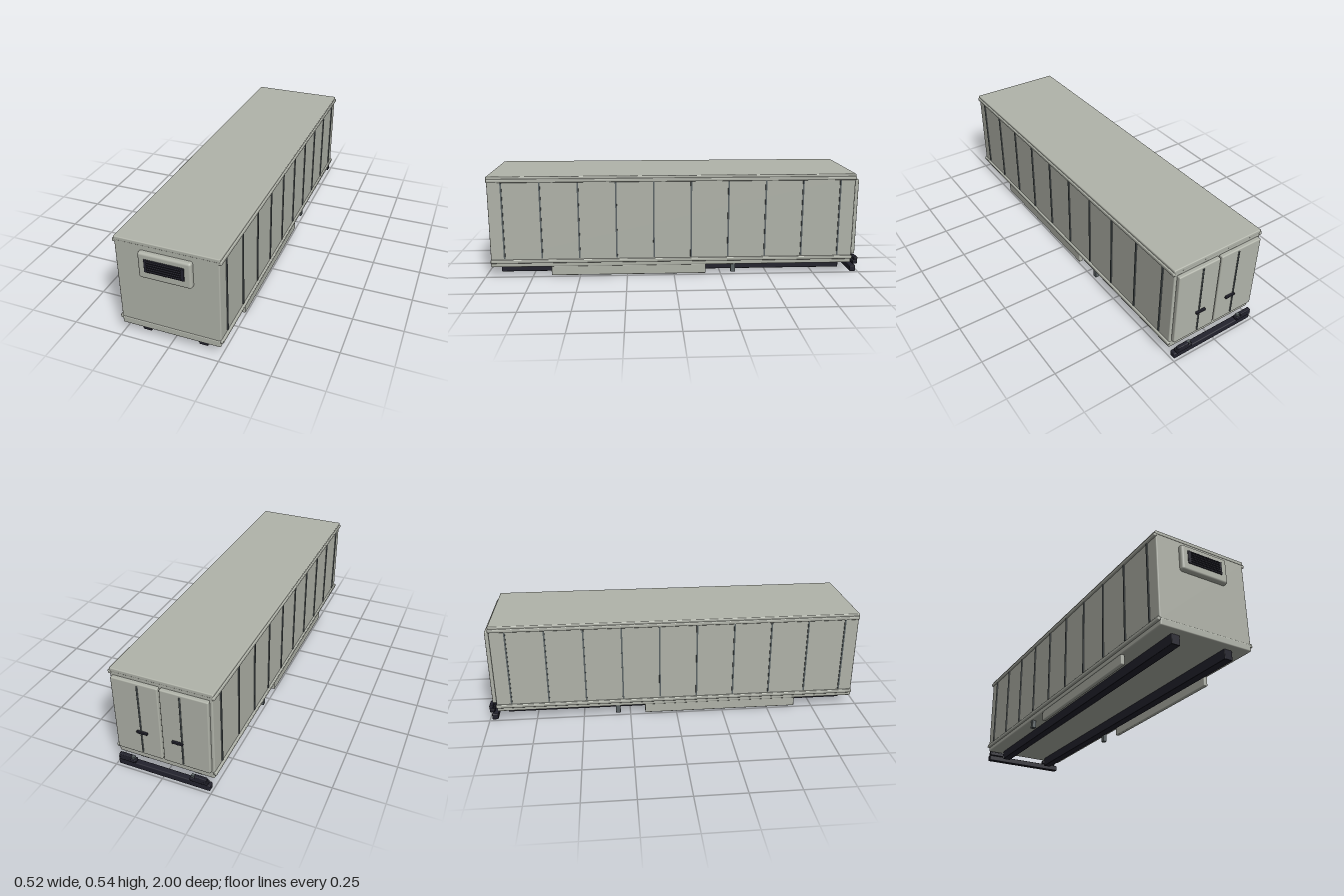
import * as THREE from 'three';
import { RoundedBoxGeometry } from 'three/addons/geometries/RoundedBoxGeometry.js';

const paint = new THREE.MeshStandardMaterial({ name: 'greyPaint', color: 0xb1b4aa });
const dark = new THREE.MeshStandardMaterial({ name: 'darkMetal', color: 0x22222d });
const steel = new THREE.MeshStandardMaterial({ name: 'steel', color: 0x5c6466 });

export function createModel() {
  const model = new THREE.Group();
  model.name = 'boxTrailer';

  // box given by its minimum and maximum on each axis, with optional rounded edges
  function box(name, mat, [x0, x1], [y0, y1], [z0, z1], r = 0) {
    const w = x1 - x0, h = y1 - y0, d = z1 - z0;
    const geo = r ? new RoundedBoxGeometry(w, h, d, 2, r) : new THREE.BoxGeometry(w, h, d);
    const mesh = new THREE.Mesh(geo, mat);
    mesh.name = name;
    mesh.position.set((x0 + x1) / 2, (y0 + y1) / 2, (z0 + z1) / 2);
    model.add(mesh);
    return mesh;
  }
  // the same span on the chosen side
  const side = (s, a, b) => (s > 0 ? [a, b] : [-b, -a]);

  // cargo body
  box('cargoBody', paint, [-0.252, 0.252], [0.085, 0.53], [-0.955, 0.966], 0.006);
  box('roof', paint, [-0.255, 0.255], [0.521, 0.541], [-0.957, 0.968], 0.005);
  box('floorFrame', paint, [-0.25, 0.25], [0.054, 0.092], [-0.955, 0.969], 0.007);

  // refrigeration unit with louvred vent
  box('coolingUnit', paint, [-0.129, 0.129], [0.364, 0.499], [0.955, 0.99], 0.012);
  box('ventPanel', dark, [-0.097, 0.097], [0.403, 0.471], [0.98, 0.994], 0.003);
  for (let i = 0; i < 5; i++) {
    const y = 0.413 + i * 0.012;
    const slat = box('ventSlat', dark, [-0.082, 0.082], [y - 0.0025, y + 0.0025], [0.99, 0.999]);
    slat.rotation.x = 0.35;
  }

  for (const s of [1, -1]) {
    // long corner rails
    for (const y of [0.519, 0.087])
      box('sideRail', paint, side(s, 0.245, 0.262), [y - 0.0095, y + 0.0095], [-0.958, 0.967], 0.005);

    // wall ribs
    for (let i = 0; i < 10; i++) {
      const z = 0.893 - i * 0.1965;
      box('wallRib', steel, side(s, 0.25, 0.257), [0.103, 0.511], [z - 0.004, z + 0.004]);
    }

    // underside
    box('chassisBeam', dark, side(s, 0.123, 0.168), [0.004, 0.056], [-0.91, 0.93], 0.003);
    box('sideSkirt', paint, side(s, 0.227, 0.248), [0.005, 0.06], [-0.17, 0.652], 0.005);
    box('landingLeg', steel, side(s, 0.222, 0.245), [0.01, 0.06], [-0.329, -0.303], 0.003);

    // rear doors
    box('rearDoor', paint, side(s, 0.004, 0.24), [0.1, 0.508], [-0.977, -0.953], 0.006);
    const rod = new THREE.Mesh(new THREE.CylinderGeometry(0.004, 0.004, 0.38, 10), steel);
    rod.name = 'lockRod';
    rod.position.set(s * 0.105, 0.305, -0.978);
    model.add(rod);
    const hx = s > 0 ? 0.098 : -0.083;
    box('doorHandle', dark, [hx - 0.028, hx + 0.028], [0.228, 0.241], [-0.988, -0.976], 0.003);

    // tail lamp housings
    box('tailLampHousing', dark, side(s, 0.142, 0.232), [0.04, 0.06], [-0.998, -0.972], 0.004);
    box('tailLampMount', dark, side(s, 0.165, 0.228), [0.055, 0.077], [-1, -0.98], 0.004);
    box('tailLampPlate', steel, side(s, 0.148, 0.17), [0.058, 0.072], [-0.992, -0.978]);
  }

  // rear bumper
  box('rearBumper', dark, [-0.24, 0.24], [0, 0.033], [-0.988, -0.956], 0.005);

  return model;
}
